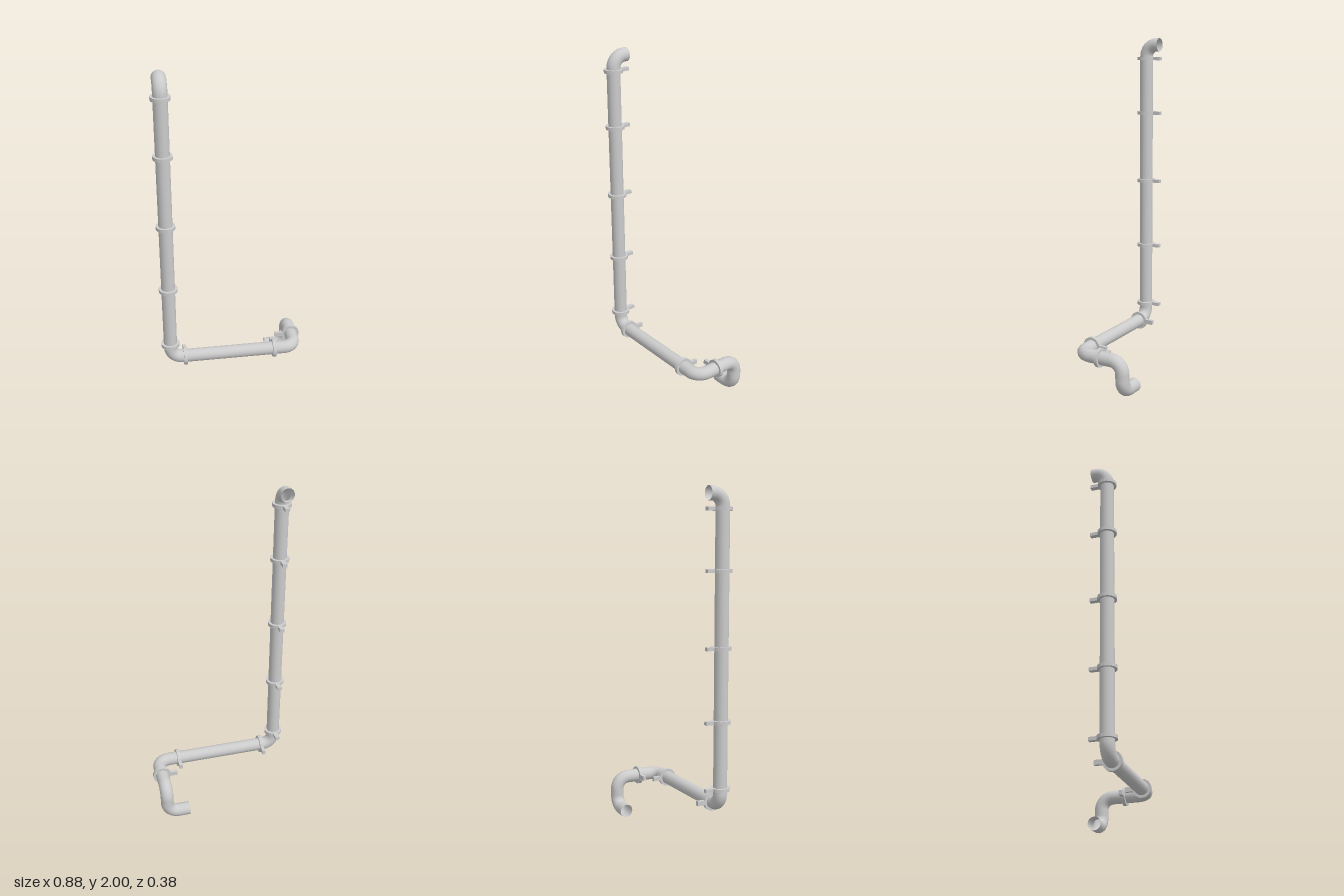
import * as THREE from 'three';

const PIPE_R = 0.04, BEND_R = 0.07, SIDES = 16;
const V = (x, y, z) => new THREE.Vector3(x, y, z);
const UP = V(0, 1, 0);

export function createModel() {
  const model = new THREE.Group();
  const pipeMat = new THREE.MeshStandardMaterial({ color: 0xcccccc, side: THREE.DoubleSide });
  const clampMat = new THREE.MeshStandardMaterial({ color: 0xcccccc, flatShading: true });

  // Corner points of the pipe run, from the top outlet to the bottom outlet
  const path = [
    V(-0.388, 1.96, 0.045), V(-0.388, 1.96, 0.135), V(-0.388, 0.22, 0.135),
    V(0.385, 0.22, 0.135), V(0.385, 0.22, -0.152), V(0.385, 0.042, -0.152),
    V(0.248, 0.042, -0.152),
  ];
  const dirs = path.slice(1).map((p, i) => p.clone().sub(path[i]).normalize());

  // Straight lengths, shortened where they meet a bend
  dirs.forEach((d, i) => {
    const a = path[i].clone().addScaledVector(d, i > 0 ? BEND_R : 0);
    const b = path[i + 1].clone().addScaledVector(d, i < dirs.length - 1 ? -BEND_R : 0);
    const pipe = new THREE.Mesh(
      new THREE.CylinderGeometry(PIPE_R, PIPE_R, a.distanceTo(b), SIDES, 1, true), pipeMat);
    pipe.name = 'straightPipe' + (i + 1);
    pipe.position.copy(a).lerp(b, 0.5);
    pipe.quaternion.setFromUnitVectors(UP, d);
    model.add(pipe);
  });

  // Quarter-turn elbows
  for (let i = 1; i < path.length - 1; i++) {
    const a = dirs[i - 1], b = dirs[i], x = b.clone().negate();
    const elbow = new THREE.Mesh(
      new THREE.TorusGeometry(BEND_R, PIPE_R, SIDES, 6, Math.PI / 2), pipeMat);
    elbow.name = 'elbow' + i;
    elbow.quaternion.setFromRotationMatrix(
      new THREE.Matrix4().makeBasis(x, a, x.clone().cross(a)));
    elbow.position.copy(path[i]).addScaledVector(a, -BEND_R).addScaledVector(b, BEND_R);
    model.add(elbow);
  }

  // Clamp: a collar around the pipe with a wall lug
  const ring = new THREE.Shape().absarc(0, 0, 0.055, 0, Math.PI * 2);
  ring.holes.push(new THREE.Path().absarc(0, 0, 0.038, 0, Math.PI * 2, true));
  const collarGeo = new THREE.ExtrudeGeometry(ring, { depth: 0.02, bevelEnabled: false, curveSegments: 14 });
  collarGeo.translate(0, 0, -0.01);
  const lugGeo = new THREE.BoxGeometry(0.055, 0.027, 0.02);
  lugGeo.translate(0.0715, 0, 0);

  function addClamp(position, axis, lugDir) {
    const clamp = new THREE.Group();
    clamp.name = 'clamp';
    const collar = new THREE.Mesh(collarGeo, clampMat);
    collar.name = 'collar';
    const lug = new THREE.Mesh(lugGeo, clampMat);
    lug.name = 'wallLug';
    clamp.add(collar, lug);
    clamp.position.copy(position);
    clamp.quaternion.setFromRotationMatrix(
      new THREE.Matrix4().makeBasis(lugDir, axis.clone().cross(lugDir), axis));
    model.add(clamp);
  }
  const back = V(0, 0, -1);
  for (const y of [0.318, 0.705, 1.12, 1.545, 1.877]) addClamp(V(-0.388, y, 0.135), UP, back);
  for (const x of [-0.3, 0.251]) addClamp(V(x, 0.22, 0.135), V(1, 0, 0), back);
  addClamp(V(0.385, 0.22, -0.006), V(0, 0, 1), V(-1, 0, 0));

  return model;
}
